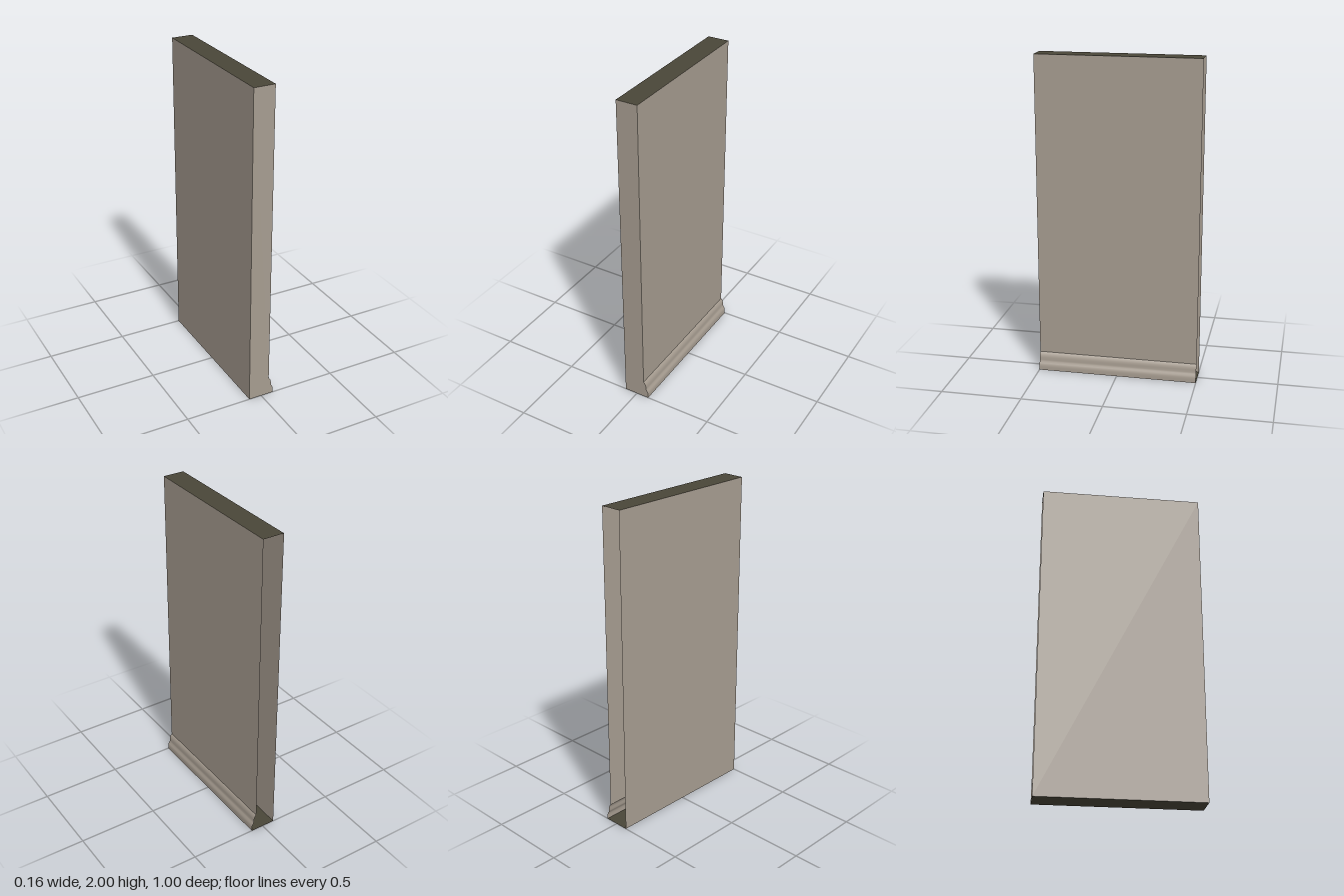
import * as THREE from 'three';

const HEIGHT = 2, HALF_DEPTH = 0.5, BACK_X = -0.082, FACE_X = 0.051;

// Skirting profile (x, y), from the wall face down to the floor
const skirting = [
  [FACE_X, 0.113], [0.058, 0.106], [0.064, 0.094], [0.067, 0.08], [0.067, 0.064],
  [0.07, 0.054], [0.077, 0.044], [0.081, 0.033], [0.082, 0.02], [0.082, 0],
];

const plaster = new THREE.MeshStandardMaterial({ color: 0xa69c90, side: THREE.DoubleSide });
plaster.name = 'plaster';
const darkEdge = new THREE.MeshStandardMaterial({ color: 0x4a4638, side: THREE.DoubleSide });
darkEdge.name = 'darkEdge';

// Sweeps a line of (x, y) points along z; the outside is on the line's left-hand side
function sweep(name, points, material) {
  const geometry = new THREE.PlaneGeometry(1, 1, 1, points.length - 1);
  const position = geometry.attributes.position;
  points.forEach(([x, y], i) => {
    position.setXYZ(i * 2, x, y, HALF_DEPTH);
    position.setXYZ(i * 2 + 1, x, y, -HALF_DEPTH);
  });
  geometry.computeVertexNormals();
  const mesh = new THREE.Mesh(geometry, material);
  mesh.name = name;
  return mesh;
}

export function createModel() {
  const group = new THREE.Group();
  group.name = 'wallPanel';

  // Hollow shell: two long faces, moulded skirting, dark top and bottom
  group.add(
    sweep('wallFace', [[FACE_X, HEIGHT], skirting[0]], plaster),
    sweep('skirting', skirting, plaster),
    sweep('bottom', [[0.082, 0], [BACK_X, 0]], darkEdge),
    sweep('wallBack', [[BACK_X, 0], [BACK_X, HEIGHT]], plaster),
    sweep('top', [[BACK_X, HEIGHT], [FACE_X, HEIGHT]], darkEdge),
  );

  // Front end closes the shell; the rear end stays open
  const outline = [[BACK_X, 0], [BACK_X, HEIGHT], [FACE_X, HEIGHT], ...skirting];
  const shape = new THREE.Shape(outline.map(([x, y]) => new THREE.Vector2(x, y)));
  const frontEnd = new THREE.Mesh(new THREE.ShapeGeometry(shape), plaster);
  frontEnd.name = 'frontEnd';
  frontEnd.position.z = HALF_DEPTH;
  group.add(frontEnd);

  return group;
}
